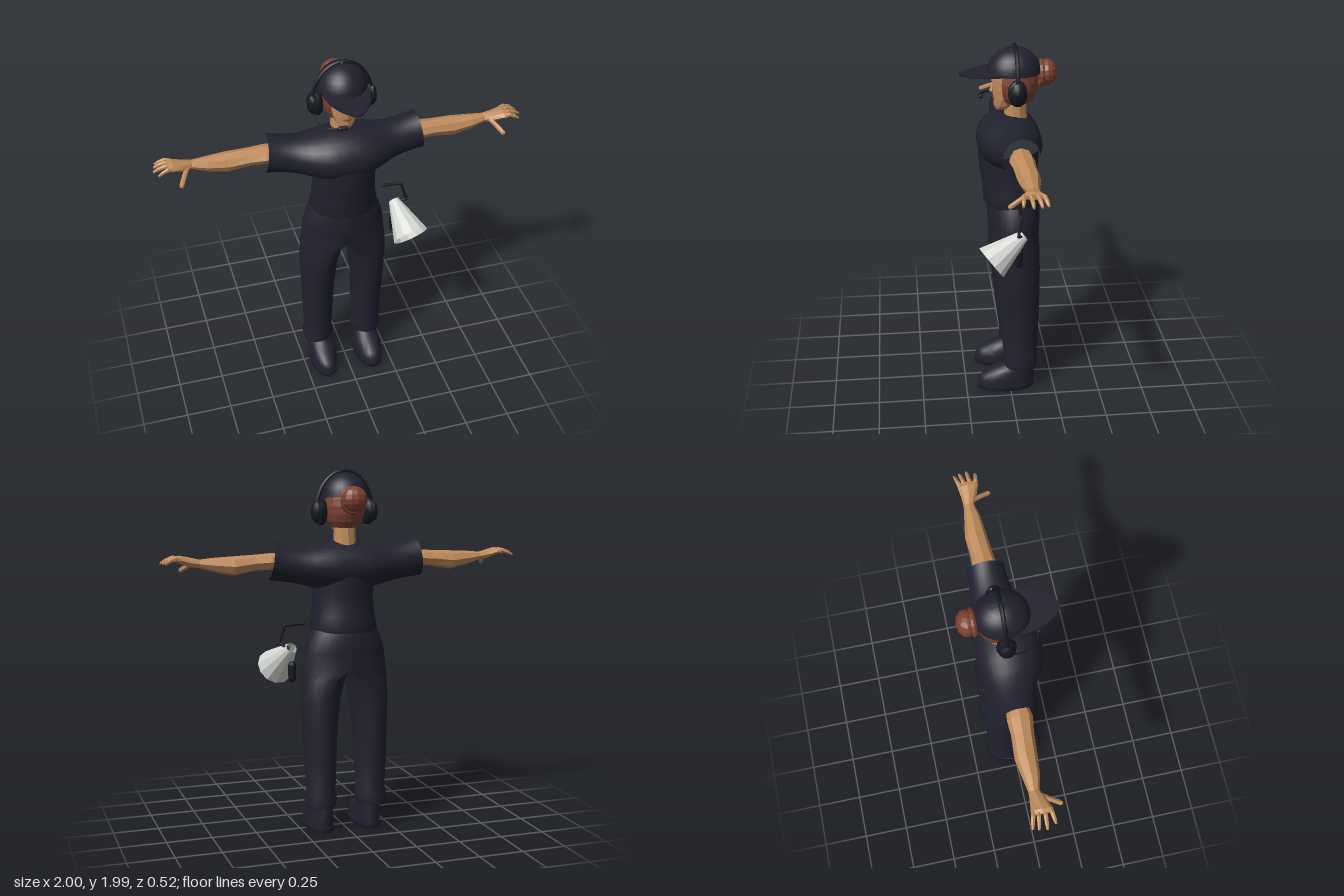
import * as THREE from 'three';
import { toCreasedNormals } from 'three/addons/utils/BufferGeometryUtils.js';

const material = (name, color, side = THREE.FrontSide) => {
  const m = new THREE.MeshStandardMaterial({ color, side });
  m.name = name;
  return m;
};
const V = (x, y, z) => new THREE.Vector3(x, y, z);

// Rings of points around an upright or a sideways axis
const ringOf = (n, fn) => Array.from({ length: n }, (_, i) => fn(Math.cos(i / n * Math.PI * 2), Math.sin(i / n * Math.PI * 2)));
const ringY = (n, y, cx, rx, cz, rz) => ringOf(n, (c, s) => V(cx + rx * c, y, cz - rz * s));
const ringX = (n, x, cy, ry, cz, rz, slant = 0) => ringOf(n, (c, s) => V(x - slant * c, cy + ry * c, cz + rz * s));

// Skin a surface over successive rings, with optional end caps
function loft(rings, capStart = false, capEnd = false) {
  const n = rings[0].length, pos = [], idx = [];
  rings.forEach(r => r.forEach(p => pos.push(p.x, p.y, p.z)));
  for (let j = 0; j < rings.length - 1; j++) {
    for (let i = 0; i < n; i++) {
      const a = j * n + i, b = j * n + (i + 1) % n;
      idx.push(a, b, b + n, a, b + n, a + n);
    }
  }
  const cap = (j, flip) => {
    const mid = rings[j].reduce((s, p) => s.add(p), V(0, 0, 0)).divideScalar(n), m = pos.length / 3;
    pos.push(mid.x, mid.y, mid.z);
    for (let i = 0; i < n; i++) {
      const a = j * n + i, b = j * n + (i + 1) % n;
      idx.push(m, flip ? b : a, flip ? a : b);
    }
  };
  if (capStart) cap(0, true);
  if (capEnd) cap(rings.length - 1, false);
  const g = new THREE.BufferGeometry();
  g.setAttribute('position', new THREE.Float32BufferAttribute(pos, 3));
  g.setIndex(idx);
  return g;
}
const flat = g => { const f = g.index ? g.toNonIndexed() : g; f.computeVertexNormals(); return f; };
const smooth = g => toCreasedNormals(g, 1);

// Mirror across x, reversing each triangle so it still faces outward
function mirrored(geo) {
  const g = geo.index ? geo.toNonIndexed() : geo.clone();
  for (const a of Object.values(g.attributes)) {
    const s = a.itemSize;
    for (let t = 0; t < a.count; t += 3) {
      for (let k = 0; k < s; k++) {
        const p = (t + 1) * s + k, q = (t + 2) * s + k, v = a.array[p];
        a.array[p] = a.array[q];
        a.array[q] = v;
      }
    }
  }
  return g.scale(-1, 1, 1);
}

export function createModel() {
  const model = new THREE.Group();
  model.name = 'stageManager';
  const fabric = material('navy fabric', 0x20212e);
  const skin = material('skin', 0xc08c5c);
  const hair = material('auburn hair', 0x7d4030, THREE.DoubleSide);
  const lips = material('lips', 0x8a4a3a);
  const black = material('black plastic', 0x161820);
  const pale = material('pale grey horn', 0xd4d7d2, THREE.DoubleSide);
  const add = (name, geo, mat) => {
    const m = new THREE.Mesh(geo, mat);
    m.name = name;
    model.add(m);
    return m;
  };
  const pair = (name, geo, mat) => {
    add(name + 'Left', geo, mat);
    add(name + 'Right', mirrored(geo), mat);
  };
  const tube = (pts, r, sides = 6, seg = 12) => new THREE.TubeGeometry(new THREE.CatmullRomCurve3(pts), seg, r, sides);

  // Shirt: sideways tube for chest and sleeves, upright tube for the waist
  const half = [ // x, cy, ry, cz, rz, slant
    [0.42, 1.508, 0.105, -0.035, 0.1, 0.014], [0.37, 1.498, 0.1, -0.035, 0.1, 0.008], [0.3, 1.485, 0.1, -0.032, 0.107, 0],
    [0.24, 1.475, 0.103, -0.026, 0.122, 0], [0.19, 1.47, 0.113, -0.018, 0.142, 0], [0.12, 1.467, 0.13, -0.01, 0.165, 0],
    [0.06, 1.465, 0.143, -0.007, 0.171, 0]];
  const chest = [...half.map(([x, cy, ry, cz, rz, s]) => ringX(28, -x, cy, ry, cz, rz, -s)),
    ringX(28, 0, 1.465, 0.144, -0.006, 0.172), ...half.slice().reverse().map(a => ringX(28, ...a))];
  add('shirtChestAndSleeves', smooth(loft(chest)), fabric);
  add('shirtWaist', smooth(loft([
    [1.115, 0.178, -0.023, 0.153], [1.135, 0.186, -0.023, 0.157], [1.2, 0.176, -0.015, 0.15],
    [1.3, 0.168, -0.006, 0.156], [1.37, 0.174, -0.005, 0.163], [1.42, 0.18, -0.006, 0.164],
  ].map(([y, rx, cz, rz]) => ringY(28, y, 0, rx, cz, rz)))), fabric);

  // Trousers: each leg blends from an oval into half of the hips
  const leg = [ // y, inner x, outer x, front z, back z, blend
    [0.14, 0.065, 0.23, 0.03, -0.152, 0], [0.18, 0.056, 0.236, 0.037, -0.157, 0], [0.215, 0.064, 0.226, 0.034, -0.15, 0],
    [0.4, 0.058, 0.232, 0.055, -0.16, 0], [0.6, 0.05, 0.24, 0.077, -0.165, 0], [0.75, 0.03, 0.245, 0.092, -0.166, 0],
    [0.86, 0.006, 0.242, 0.1, -0.168, 0.25], [0.92, 0, 0.236, 0.105, -0.172, 1], [1.0, 0, 0.228, 0.11, -0.175, 1],
    [1.08, 0, 0.207, 0.114, -0.175, 1], [1.13, 0, 0.182, 0.11, -0.165, 1]];
  pair('trouserLeg', smooth(loft(leg.map(([y, xi, xo, zf, zb, k]) => ringOf(28, (c, s) => {
    const oval = (xi + xo) / 2 + (xo - xi) / 2 * c, hip = Math.max(0, xo * c);
    return V(oval + (hip - oval) * k, y, (zf + zb) / 2 - (zf - zb) / 2 * s);
  })), true, true)), fabric);

  // Shoes and soles
  pair('shoe', smooth(loft([
    [0.03, 0.076, 0.022, 0.158], [0.06, 0.077, 0.021, 0.158], [0.09, 0.074, 0.011, 0.147], [0.125, 0.068, -0.02, 0.113],
    [0.15, 0.063, -0.05, 0.08], [0.2, 0.06, -0.06, 0.066],
  ].map(([y, rx, cz, rz]) => ringY(20, y, 0.138, rx, cz, rz)), false, true)), fabric);
  pair('sole', smooth(loft([[0, 0.075, 0.157], [0.005, 0.08, 0.163], [0.032, 0.08, 0.163]]
    .map(([y, rx, rz]) => ringY(20, y, 0.138, rx, 0.022, rz)), true, true)), fabric);

  // Bare arms and palms
  pair('arm', flat(loft([
    [0.35, 1.5, 0.045, -0.035, 0.055], [0.42, 1.502, 0.044, -0.033, 0.066], [0.5, 1.498, 0.043, -0.037, 0.058],
    [0.62, 1.485, 0.051, -0.045, 0.058], [0.72, 1.493, 0.038, -0.042, 0.045], [0.8, 1.502, 0.022, -0.045, 0.029],
    [0.85, 1.51, 0.026, -0.035, 0.042], [0.9, 1.525, 0.021, -0.03, 0.055], [0.922, 1.527, 0.013, -0.03, 0.052],
  ].map(a => ringX(8, ...a)), true, true)), skin);

  // Fingers and thumb
  [[0.985, -0.072, -0.092], [0.994, -0.045, -0.062], [1.0, -0.016, -0.022], [0.98, 0.012, 0.024]].forEach(([tip, z0, z1], i) => {
    const rings = [[0, 1.526, 0.013], [0.35, 1.532, 0.012], [0.75, 1.52, 0.0105], [1, 1.507, 0.006]]
      .map(([t, y, r]) => ringX(6, 0.9 + (tip - 0.9) * t, y, r, z0 + (z1 - z0) * t, r));
    pair('finger' + (i + 1), flat(loft(rings, true, true)), skin);
  });
  pair('thumb', flat(tube([V(0.825, 1.505, -0.02), V(0.852, 1.482, 0.03), V(0.872, 1.462, 0.072)], 0.013, 6, 4)), skin);
  pair('thumbTip', flat(new THREE.SphereGeometry(0.013, 6, 4).translate(0.873, 1.461, 0.073)), skin);

  // Neck, head and face
  add('neck', flat(new THREE.CylinderGeometry(0.056, 0.063, 0.16, 10).translate(0, 1.63, -0.043)), skin);
  add('head', flat(loft([
    [1.64, 0.03, 0.03, 0.035], [1.66, 0.048, 0.016, 0.056], [1.7, 0.068, -0.005, 0.08], [1.75, 0.08, -0.022, 0.102],
    [1.8, 0.085, -0.03, 0.111], [1.87, 0.085, -0.035, 0.112],
  ].map(([y, rx, cz, rz]) => ringY(12, y, 0, rx, cz, rz)), true, true)), skin);
  const nose = new THREE.ConeGeometry(0.014, 0.045, 4).rotateX(-0.15).translate(0, 1.757, 0.08);
  add('nose', flat(nose), skin);
  add('mouth', new THREE.SphereGeometry(1, 10, 6).scale(0.024, 0.008, 0.006).translate(0, 1.7, 0.073), lips);

  // Swept-back hair and bun
  add('hair', flat(new THREE.SphereGeometry(1, 14, 8, Math.PI / 2 + 0.8, Math.PI * 2 - 1.6, 0, 2.4)
    .scale(0.108, 0.14, 0.118).translate(0, 1.78, -0.045)), hair);
  add('bun', flat(new THREE.SphereGeometry(1, 12, 8).scale(0.07, 0.068, 0.055).translate(0, 1.83, -0.208)), hair);
  add('bunBand', flat(new THREE.TorusGeometry(0.062, 0.014, 6, 14).translate(0, 1.825, -0.178)), hair);

  // Cap with a pointed brim
  const dome = Array.from({ length: 8 }, (_, i) => {
    const a = i / 7 * 1.5;
    return ringY(28, 1.838 + 0.132 * Math.sin(a), 0, 0.13 * Math.cos(a), -0.035, 0.142 * Math.cos(a));
  });
  add('capCrown', smooth(loft(dome, true, true)), fabric);
  add('capButton', new THREE.SphereGeometry(0.012, 10, 6).translate(0, 1.97, -0.035), fabric);
  const brim = new THREE.Shape();
  brim.moveTo(-0.122, -0.02);
  brim.bezierCurveTo(-0.13, 0.13, -0.075, 0.2, -0.02, 0.25);
  brim.quadraticCurveTo(0, 0.258, 0.02, 0.25);
  brim.bezierCurveTo(0.075, 0.2, 0.13, 0.13, 0.122, -0.02);
  const brimGeo = new THREE.ExtrudeGeometry(brim, { depth: 0.01, bevelEnabled: false, curveSegments: 10 });
  add('capBrim', brimGeo.rotateX(Math.PI / 2).rotateX(0.07).translate(0, 1.852, 0), fabric);

  // Headset: band, ear cups, boom and microphone
  const arc = Array.from({ length: 17 }, (_, i) => {
    const a = i / 16 * Math.PI;
    return V(0.158 * Math.cos(a), 1.76 + 0.216 * Math.sin(a), -0.04);
  });
  add('headband', tube(arc, 0.011, 8, 32), black);
  const cup = [[0, -0.035], [0.8, -0.035], [1, -0.02], [1, 0], [0.8, 0.006], [0.85, 0.018], [0.6, 0.034], [0, 0.036]];
  const cupGeo = new THREE.LatheGeometry(cup.map(p => new THREE.Vector2(...p)), 18);
  pair('earCup', smooth(cupGeo.rotateZ(-Math.PI / 2).scale(1, 0.07, 0.05).translate(0.145, 1.76, -0.04)), black);
  add('microphoneBoom', tube([V(-0.16, 1.71, -0.03), V(-0.15, 1.692, 0.05), V(-0.11, 1.692, 0.12), V(-0.05, 1.697, 0.137)], 0.005), black);
  add('microphone', new THREE.CapsuleGeometry(0.012, 0.03, 4, 8).rotateZ(Math.PI / 2).translate(-0.045, 1.697, 0.138), black);

  // Megaphone hanging at the left hip
  const back = V(0.307, 1.035, -0.058), mouth = V(0.352, 0.905, 0.12), axis = mouth.clone().sub(back);
  const horn = new THREE.CylinderGeometry(0.102, 0.03, axis.length(), 12, 1, true);
  horn.applyQuaternion(new THREE.Quaternion().setFromUnitVectors(V(0, 1, 0), axis.clone().normalize()));
  const mid = back.clone().add(mouth).multiplyScalar(0.5);
  add('megaphoneHorn', flat(horn.translate(mid.x, mid.y, mid.z)), pale);
  add('megaphoneGrip', new THREE.CapsuleGeometry(0.022, 0.07, 4, 10).translate(0.298, 0.9, -0.033), black);
  add('megaphoneTrigger', new THREE.BoxGeometry(0.03, 0.02, 0.05).translate(0.3, 0.945, 0.0), black);

  // Bent carrying bracket
  const bends = [V(0.235, 1.163, -0.04), V(0.34, 1.155, -0.04), V(0.368, 1.058, -0.022), V(0.315, 1.03, -0.05)];
  for (let i = 0; i < 3; i++) {
    add('bracket' + (i + 1), new THREE.TubeGeometry(new THREE.LineCurve3(bends[i], bends[i + 1]), 1, 0.008, 8), black);
    add('bracketJoint' + (i + 1), new THREE.SphereGeometry(0.009, 8, 6).translate(...bends[i].toArray()), black);
  }
  return model;
}
